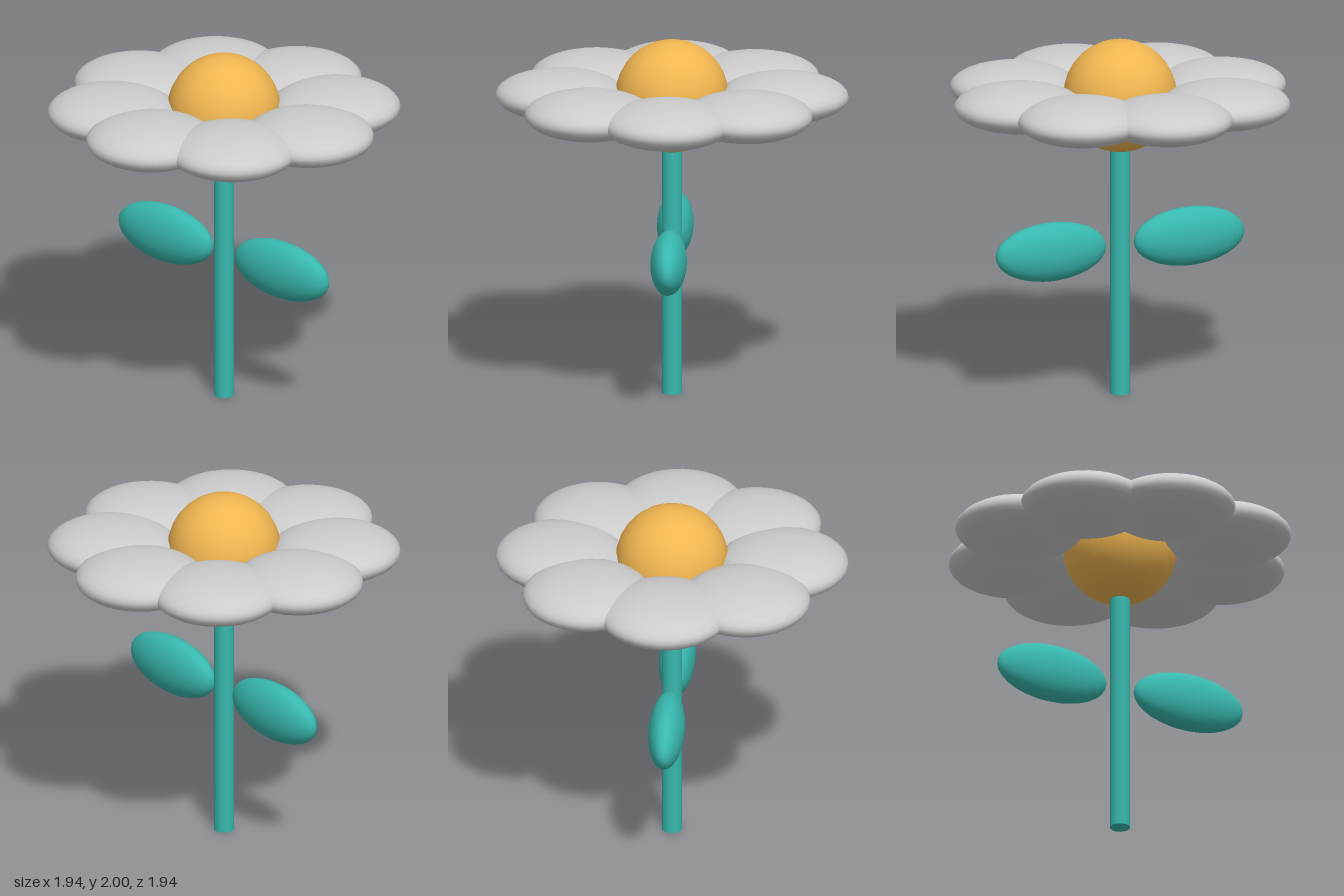
import * as THREE from 'three';

const petalMaterial = new THREE.MeshStandardMaterial({ color: 0xcccccc });
const centreMaterial = new THREE.MeshStandardMaterial({ color: 0xf0b550 });
const greenMaterial = new THREE.MeshStandardMaterial({ color: 0x38b8ae });

const FLOWER_Y = 1.685;
const PETAL_COUNT = 8;

// Smooth ellipsoid with the given half-sizes
function ellipsoid(name, material, rx, ry, rz) {
  const geometry = new THREE.SphereGeometry(1, 32, 16);
  geometry.scale(rx, ry, rz);
  const mesh = new THREE.Mesh(geometry, material);
  mesh.name = name;
  return mesh;
}

export function createModel() {
  const flower = new THREE.Group();
  flower.name = 'flower';

  // Stem, running up into the flower centre
  const stemHeight = 1.5;
  const stem = new THREE.Mesh(new THREE.CylinderGeometry(0.055, 0.055, stemHeight, 24), greenMaterial);
  stem.name = 'stem';
  stem.position.y = stemHeight / 2;
  flower.add(stem);

  // Pair of leaves on either side of the stem
  for (const side of [1, -1]) {
    const leaf = ellipsoid(side > 0 ? 'leftLeaf' : 'rightLeaf', greenMaterial, 0.333, 0.165, 0.1);
    leaf.position.set(side * 0.42, 0.845, 0);
    flower.add(leaf);
  }

  // Round flower centre
  const centre = ellipsoid('flowerCentre', centreMaterial, 0.312, 0.312, 0.312);
  centre.position.y = FLOWER_Y;
  flower.add(centre);

  // Ring of flattened, overlapping petals
  const petals = new THREE.Group();
  petals.name = 'petals';
  petals.position.y = FLOWER_Y;
  for (let i = 0; i < PETAL_COUNT; i++) {
    const angle = (i / PETAL_COUNT) * Math.PI * 2;
    const petal = ellipsoid('petal', petalMaterial, 0.358, 0.125, 0.358);
    petal.position.set(Math.cos(angle) * 0.614, 0, Math.sin(angle) * 0.614);
    petal.rotation.y = -angle;
    petals.add(petal);
  }
  flower.add(petals);

  return flower;
}
